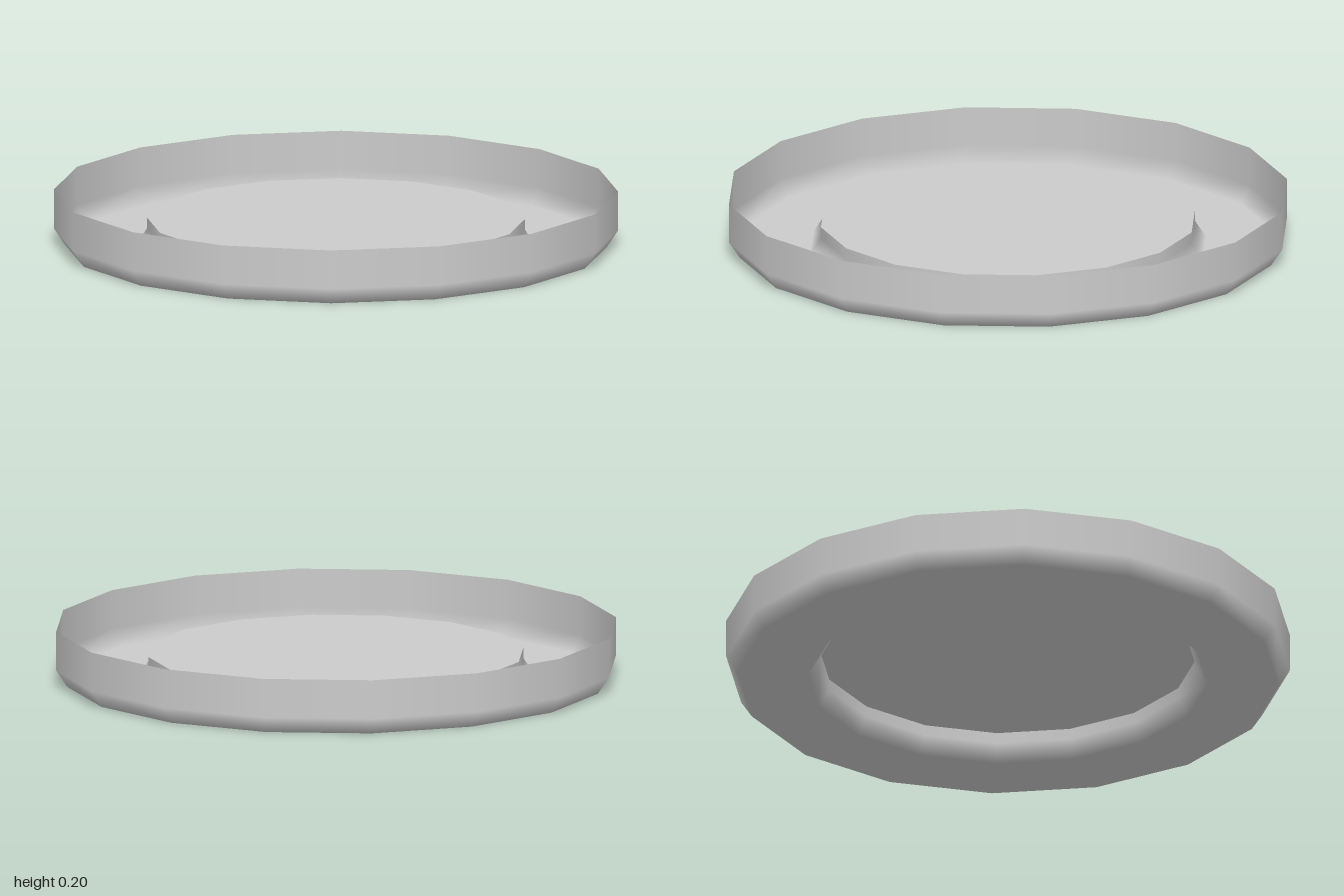
import * as THREE from 'three';

const SIDES = 16;

// Pressed profile, inside to outside: radius, height, then the radial and vertical normal.
const PROFILE = [
  [0.67, 0.10, -1, 0], // raised centre edge
  [0.67, 0.06, -1, 0], // foot of inner wall
  [0.71, 0.00, 0, -1], // floor inner edge
  [0.96, 0.00, 0, -1], // floor outer edge
  [1.00, 0.06, 1, 0],  // foot of outer wall
  [1.00, 0.20, 1, 0],  // rim
];

export function createModel() {
  const group = new THREE.Group();
  group.name = 'shallowTray';
  const material = new THREE.MeshStandardMaterial({ color: 0xcccccc, side: THREE.DoubleSide });

  // Rim, bevels and floor as one thin sheet, with a flat floor and softly shaded bevels
  const points = PROFILE.map(([r, y]) => new THREE.Vector2(r, y));
  const sheet = new THREE.LatheGeometry(points, SIDES);
  const { position, normal } = sheet.attributes;
  for (let i = 0; i < position.count; i++) {
    const [r, , nr, ny] = PROFILE[i % PROFILE.length];
    normal.setXYZ(i, (position.getX(i) / r) * nr, ny, (position.getZ(i) / r) * nr);
  }
  const tray = new THREE.Mesh(sheet, material);
  tray.name = 'trayRim';
  group.add(tray);

  // Raised centre plate, with a sharp edge
  const plate = new THREE.Mesh(new THREE.CircleGeometry(0.67, SIDES).rotateX(-Math.PI / 2), material);
  plate.name = 'centrePlate';
  plate.position.y = 0.1;
  group.add(plate);

  return group;
}
